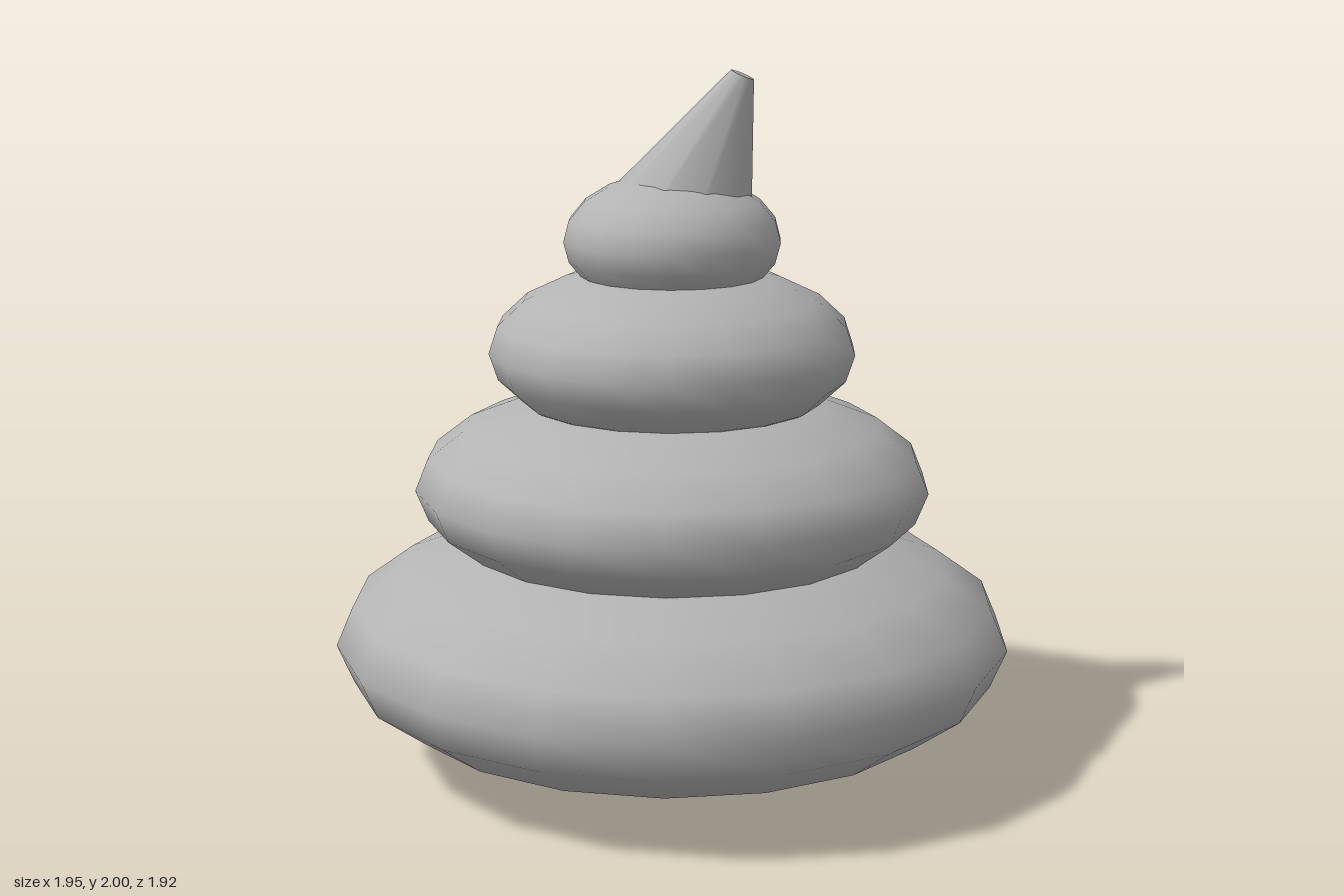
import * as THREE from 'three';

export function createModel() {
  const group = new THREE.Group();
  const grey = new THREE.MeshStandardMaterial({ color: 0xb3b3b3 });
  grey.name = 'grey';

  const add = (name, geometry) => {
    const mesh = new THREE.Mesh(geometry, grey);
    mesh.name = name;
    group.add(mesh);
    return mesh;
  };

  // Stacked squashed tiers: radius, half height, centre height
  const tiers = [
    ['bottomTier', 0.975, 0.362, 0.365],
    ['secondTier', 0.74, 0.29, 0.815],
    ['thirdTier', 0.525, 0.25, 1.207],
    ['topTier', 0.31, 0.19, 1.52],
  ];
  for (const [name, r, h, y] of tiers) {
    const tier = add(name, new THREE.SphereGeometry(1, 18, 10));
    tier.scale.set(r, h, r);
    tier.position.y = y;
  }

  // Leaning, blunt tip sunk into the top tier
  const up = new THREE.Vector3(0, 1, 0);
  const axis = new THREE.Vector3(0.375, 0.92, 0.09).normalize();
  const length = 0.5;
  const tip = add('leaningTip', new THREE.CylinderGeometry(0.035, 0.24, length, 10));
  tip.quaternion.setFromUnitVectors(up, axis);
  tip.position.set(0.192, 1.985, 0.035).addScaledVector(axis, -length / 2);

  // Small flattened beads lying on the back of the second tier
  const [, tierR, tierH, tierY] = tiers[1];
  const bead = (name, x, y, z, r, thickness) => {
    const mesh = add(name, new THREE.SphereGeometry(1, 8, 6));
    const normal = new THREE.Vector3(x / tierR ** 2, (y - tierY) / tierH ** 2, z / tierR ** 2).normalize();
    mesh.scale.set(r, thickness, r);
    mesh.position.set(x, y, z);
    mesh.quaternion.setFromUnitVectors(up, normal);
  };
  for (const [side, s] of [['left', 1], ['right', -1]]) {
    bead(side + 'Eye', s * 0.26, 0.868, -0.662, 0.053, 0.036);
    bead(side + 'Brow', s * 0.283, 0.952, -0.565, 0.08, 0.02);
  }

  return group;
}
